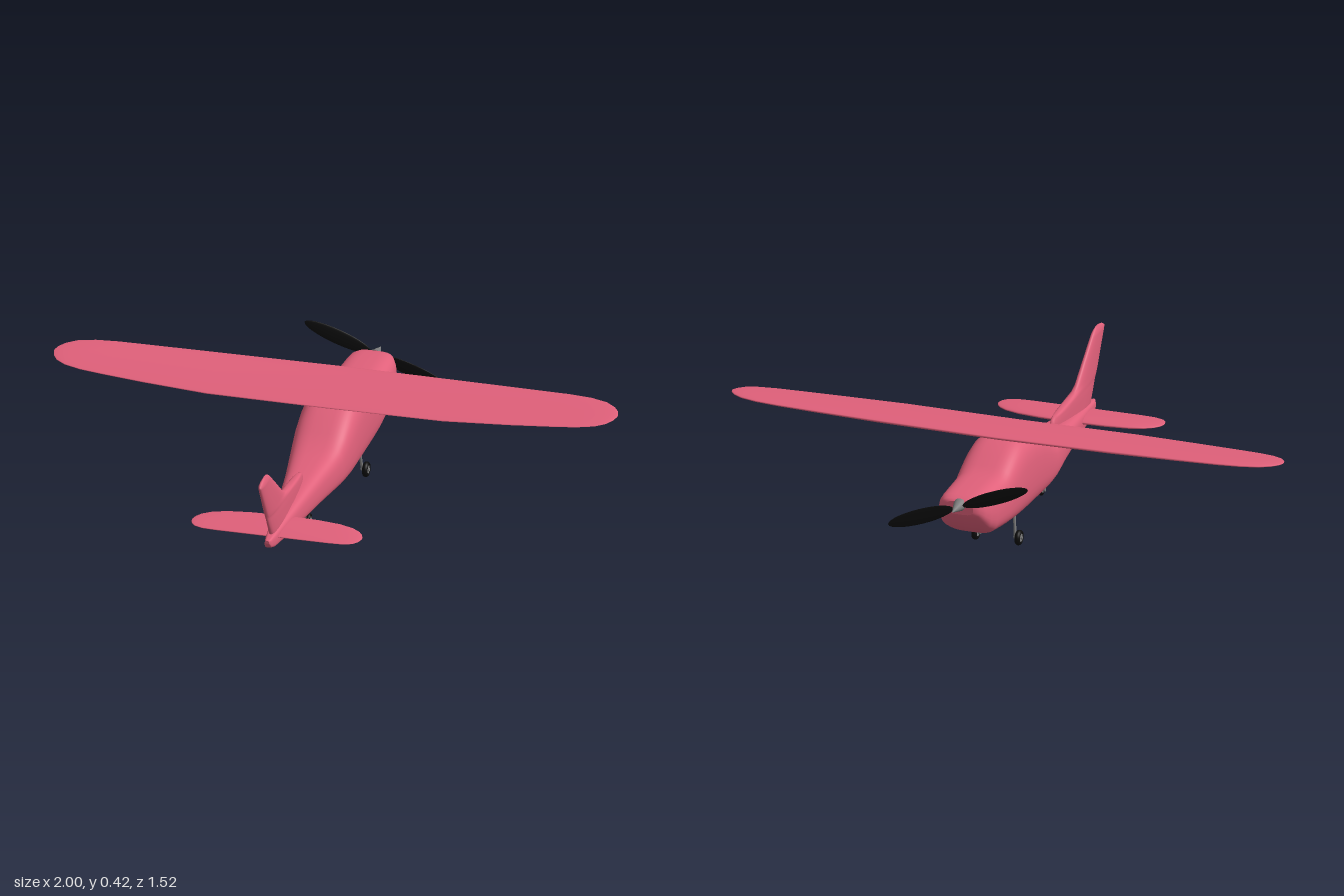
import * as THREE from 'three';

const red = new THREE.MeshStandardMaterial({ name: 'fuselageRed', color: 0xe0607a });
const grey = new THREE.MeshStandardMaterial({ name: 'metalGrey', color: 0x7c7c7c });
const black = new THREE.MeshStandardMaterial({ name: 'rubberBlack', color: 0x0c0c0c });

// Skin a closed surface over rings of points, with flat end caps
function loft(rings) {
  const n = rings[0].length;
  const pos = rings.flat(2);
  const idx = [];
  for (let r = 0; r < rings.length - 1; r++) {
    for (let i = 0; i < n; i++) {
      const j = (i + 1) % n;
      const a = r * n + i, b = r * n + j, c = a + n, d = b + n;
      idx.push(a, b, c, b, d, c);
    }
  }
  [0, rings.length - 1].forEach((r) => {
    const start = pos.length / 3;
    pos.push(...rings[r].flat());
    for (let i = 1; i < n - 1; i++) {
      if (r === 0) idx.push(start, start + i + 1, start + i);
      else idx.push(start, start + i, start + i + 1);
    }
  });
  // turn the faces outward when the enclosed volume is negative
  const P = (i) => new THREE.Vector3(pos[i * 3], pos[i * 3 + 1], pos[i * 3 + 2]);
  let volume = 0;
  for (let i = 0; i < idx.length; i += 3) {
    volume += P(idx[i]).dot(P(idx[i + 1]).cross(P(idx[i + 2])));
  }
  if (volume < 0) idx.reverse();
  const g = new THREE.BufferGeometry();
  g.setAttribute('position', new THREE.Float32BufferAttribute(pos, 3));
  g.setIndex(idx);
  g.computeVertexNormals();
  return g;
}

// Superellipse ring in two dimensions
function ring2(n, power, fn) {
  const out = [];
  for (let i = 0; i < n; i++) {
    const t = (i / n) * Math.PI * 2;
    const c = Math.cos(t), s = Math.sin(t);
    out.push(fn(Math.sign(c) * Math.abs(c) ** power, Math.sign(s) * Math.abs(s) ** power));
  }
  return out;
}

function add(parent, name, geometry, material) {
  const m = new THREE.Mesh(geometry, material);
  m.name = name;
  parent.add(m);
  return m;
}

// Thin round bar between two points
function bar(parent, name, a, b, radius) {
  const A = new THREE.Vector3(...a), B = new THREE.Vector3(...b);
  const m = add(parent, name, new THREE.CylinderGeometry(radius, radius, A.distanceTo(B), 10), grey);
  m.position.copy(A).add(B).multiplyScalar(0.5);
  m.quaternion.setFromUnitVectors(new THREE.Vector3(0, 1, 0), B.sub(A).normalize());
}

// Horizontal surface from half-span stations [x, leading z, trailing z, half thickness]
function surface(stations, height) {
  const mirrored = stations.slice(1).reverse().map(([x, ...rest]) => [-x, ...rest]);
  return loft([...mirrored, ...stations].map(([x, lead, trail, thick]) =>
    ring2(28, 1, (c, s) => {
      const z = (lead + trail) / 2 + (c * (trail - lead)) / 2;
      return [x, height(x, z) + s * thick * (1 - 0.3 * c), z];
    })));
}

function wheel(parent, name, x, y, z, radius, width) {
  const g = new THREE.Group();
  g.name = name;
  const tube = radius * 0.3;
  const tire = add(g, 'tire', new THREE.TorusGeometry(radius - tube, tube, 12, 28), black);
  tire.rotation.y = Math.PI / 2;
  tire.scale.z = width / (2 * tube);
  const hub = add(g, 'hub', new THREE.CylinderGeometry(radius * 0.55, radius * 0.55, width * 0.8, 20), grey);
  hub.rotation.z = Math.PI / 2;
  g.position.set(x, y, z);
  parent.add(g);
}

export function createModel() {
  const plane = new THREE.Group();
  plane.name = 'airplane';

  // Fuselage: z, bottom, top, half width
  const body = [
    [-0.682, 0.245, 0.292, 0.05], [-0.675, 0.232, 0.3, 0.072], [-0.65, 0.2, 0.306, 0.086],
    [-0.615, 0.165, 0.308, 0.094], [-0.57, 0.14, 0.309, 0.099], [-0.5, 0.13, 0.31, 0.103],
    [-0.455, 0.125, 0.311, 0.106], [-0.42, 0.122, 0.326, 0.109], [-0.38, 0.117, 0.345, 0.111],
    [-0.33, 0.112, 0.366, 0.112], [-0.28, 0.108, 0.378, 0.112], [-0.2, 0.106, 0.375, 0.112],
    [-0.12, 0.105, 0.352, 0.111], [-0.05, 0.105, 0.318, 0.109], [0, 0.106, 0.286, 0.104],
    [0.05, 0.108, 0.258, 0.098], [0.11, 0.11, 0.243, 0.088], [0.2, 0.112, 0.229, 0.073],
    [0.4, 0.117, 0.203, 0.046], [0.55, 0.122, 0.184, 0.027], [0.62, 0.128, 0.175, 0.019],
    [0.65, 0.138, 0.17, 0.013], [0.663, 0.158, 0.168, 0.006],
  ];
  add(plane, 'fuselage', loft(body.map(([z, lo, hi, w]) =>
    ring2(48, 0.55, (c, s) => [c * w * (s > 0 ? 1 - 0.1 * s : 1), (lo + hi) / 2 + (s * (hi - lo)) / 2, z]))), red);

  // High wing, tilted nose up
  add(plane, 'wing', surface([
    [0, -0.325, -0.05, 0.013], [0.42, -0.317, -0.05, 0.013], [0.65, -0.31, -0.07, 0.011],
    [0.8, -0.304, -0.087, 0.0095], [0.88, -0.295, -0.098, 0.008], [0.94, -0.276, -0.115, 0.007],
    [0.975, -0.25, -0.138, 0.005], [0.993, -0.225, -0.165, 0.003], [1, -0.203, -0.19, 0.001],
  ], (x, z) => 0.356 + (-z - 0.05) * 0.125 + 0.012 * x * x), red);

  // Tailplane
  add(plane, 'tailplane', surface([
    [0, 0.44, 0.6, 0.011], [0.12, 0.445, 0.6, 0.01], [0.2, 0.456, 0.6, 0.009],
    [0.25, 0.473, 0.597, 0.007], [0.28, 0.494, 0.586, 0.005], [0.295, 0.515, 0.568, 0.003],
    [0.301, 0.535, 0.548, 0.001],
  ], (x, z) => 0.161 + (0.52 - z) * 0.05), red);

  // Fin with dorsal fillet: y, leading z, trailing z, half thickness
  const fin = [
    [0.165, 0.23, 0.615, 0.019], [0.225, 0.232, 0.653, 0.018], [0.245, 0.243, 0.665, 0.017],
    [0.252, 0.268, 0.67, 0.016], [0.258, 0.36, 0.673, 0.016], [0.265, 0.445, 0.677, 0.015],
    [0.28, 0.485, 0.687, 0.015], [0.34, 0.56, 0.722, 0.013], [0.4, 0.637, 0.758, 0.011],
    [0.408, 0.647, 0.759, 0.01], [0.417, 0.662, 0.744, 0.007], [0.424, 0.68, 0.714, 0.003],
  ];
  add(plane, 'fin', loft(fin.map(([y, lead, trail, w]) =>
    ring2(28, 0.8, (c, s) => [s * w, y, (lead + trail) / 2 + (c * (trail - lead)) / 2]))), red);

  // Propeller: two flat oval blades and a pointed spinner
  const prop = new THREE.Group();
  prop.name = 'propeller';
  for (const side of [-1, 1]) {
    const blade = add(prop, 'blade', new THREE.SphereGeometry(1, 28, 14), black);
    blade.scale.set(0.125, 0.026, 0.005);
    blade.position.x = side * 0.143;
    blade.rotation.x = side * 0.15;
  }
  prop.position.set(0, 0.277, -0.696);
  prop.rotation.set(0, 0.035, -0.36);
  plane.add(prop);
  const spinner = add(plane, 'spinner', new THREE.ConeGeometry(0.023, 0.08, 28), grey);
  spinner.rotation.x = -Math.PI / 2;
  spinner.position.set(0, 0.279, -0.717);

  // Main landing gear, mirrored
  for (const side of [-1, 1]) {
    bar(plane, 'mainStrut', [side * 0.055, 0.125, -0.285], [side * 0.064, 0.028, -0.299], 0.005);
    bar(plane, 'mainAxle', [side * 0.06, 0.028, -0.299], [side * 0.09, 0.028, -0.299], 0.006);
    wheel(plane, 'mainWheel', side * 0.078, 0.028, -0.3, 0.027, 0.02);
  }

  // Tail gear
  bar(plane, 'tailStrut', [-0.008, 0.125, 0.157], [-0.01, 0.026, 0.147], 0.004);
  bar(plane, 'tailAxle', [-0.013, 0.026, 0.147], [0.011, 0.026, 0.147], 0.005);
  wheel(plane, 'tailWheel', 0.002, 0.026, 0.147, 0.02, 0.014);

  return plane;
}
